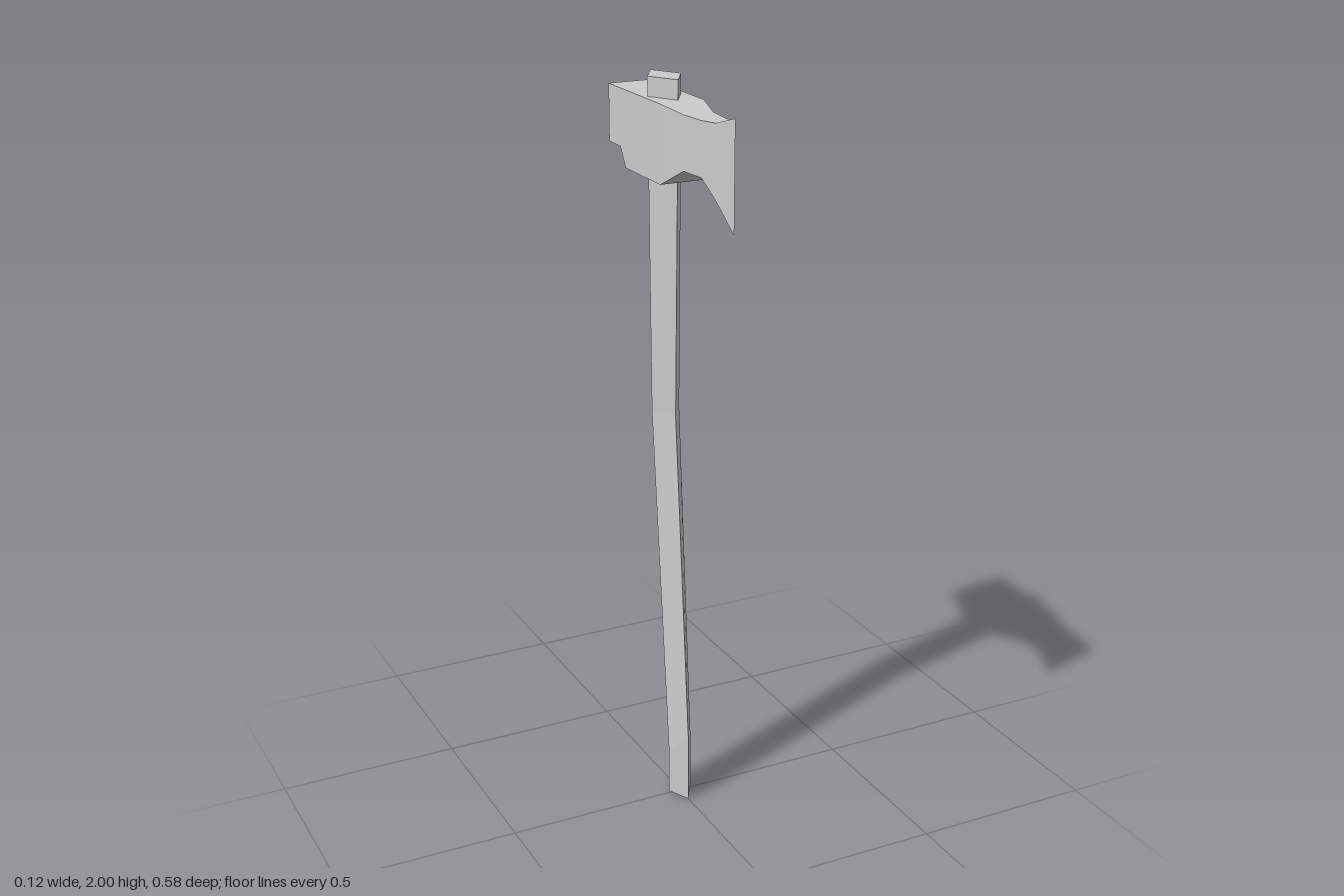
import * as THREE from 'three';

const material = new THREE.MeshStandardMaterial({ color: 0xcccccc, flatShading: true });

// Skins a list of four-cornered sections with flat faces and closes both ends.
function loft(name, rings) {
  const positions = [];
  const same = (p, q) => p.every((v, k) => v === q[k]);
  const triangle = (a, b, c) => {
    if (!same(a, b) && !same(b, c) && !same(c, a)) positions.push(...a, ...b, ...c);
  };
  const quad = (a, b, c, d) => {
    triangle(a, b, c);
    triangle(a, c, d);
  };
  for (let i = 0; i < rings.length - 1; i++) {
    for (let j = 0; j < 4; j++) {
      const k = (j + 1) % 4;
      quad(rings[i][j], rings[i][k], rings[i + 1][k], rings[i + 1][j]);
    }
  }
  quad(...[...rings[0]].reverse());
  quad(...rings[rings.length - 1]);

  const geometry = new THREE.BufferGeometry();
  geometry.setAttribute('position', new THREE.Float32BufferAttribute(positions, 3));
  geometry.computeVertexNormals();
  const mesh = new THREE.Mesh(geometry, material);
  mesh.name = name;
  return mesh;
}

// Diamond section of the handle: front, left, back and right corners.
const diamond = ([w, yFront, zFront, yMid, zMid, yBack, zBack]) => [
  [0, yFront, zFront], [w, yMid, zMid], [0, yBack, zBack], [-w, yMid, zMid],
];

// Upright rectangular section of the head.
const slab = ([z, w, bottom, top]) => [
  [-w, bottom, z], [w, bottom, z], [w, top, z], [-w, top, z],
];

export function createModel() {
  const axe = new THREE.Group();
  axe.name = 'axe';

  // Handle: bent diamond bar, from the grip to the end above the head
  axe.add(loft('handle', [
    [0.034, 0, 0.053, 0.005, -0.002, 0.01, -0.058],
    [0.034, 0.19, 0.053, 0.14, 0, 0.12, -0.053],
    [0.04, 1.12, -0.025, 1.12, -0.085, 1.12, -0.143],
    [0.047, 2, -0.009, 2, -0.087, 2, -0.165],
  ].map(diamond)));

  // Head: from the square poll at the back to the sharp cutting edge
  axe.add(loft('head', [
    [-0.29, 0.06, 1.8, 1.95],
    [-0.222, 0.06, 1.8, 1.95],
    [-0.19, 0.06, 1.75, 1.95],
    [0.012, 0.06, 1.75, 1.95],
    [0.1, 0.04, 1.8, 1.938],
    [0.18, 0.032, 1.8, 1.938],
    [0.237, 0.025, 1.76, 1.942],
    [0.29, 0, 1.68, 1.96],
  ].map(slab)));

  return axe;
}
